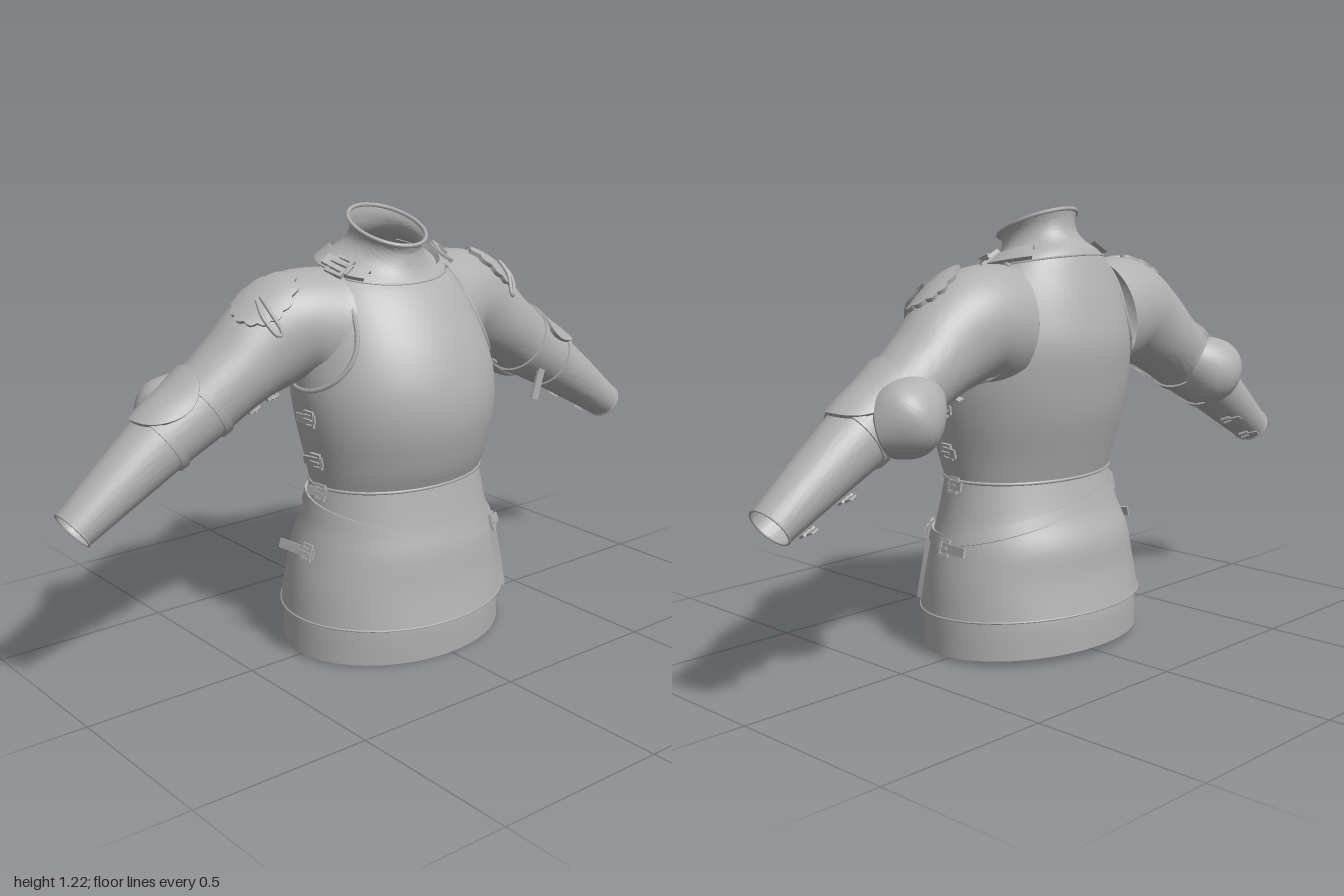
import * as THREE from 'three';
import { toCreasedNormals } from 'three/addons/utils/BufferGeometryUtils.js';

const steel = new THREE.MeshStandardMaterial({ color: 0xb0b0b0, side: THREE.DoubleSide });
steel.name = 'grey steel';
const TAU = Math.PI * 2;
const { lerp, clamp } = THREE.MathUtils;

// Smooth interpolation of one column of a table of cross-sections.
function column(rows, u, k) {
  const n = rows.length - 1;
  const i = clamp(Math.floor(u), 0, n - 1), f = u - i;
  const v = (j) => rows[clamp(j, 0, n)][k];
  const a = v(i - 1), b = v(i), c = v(i + 1), d = v(i + 2);
  return b + 0.5 * f * (c - a + f * (2 * a - 5 * b + 4 * c - d + f * (3 * (b - c) + d - a)));
}

// Body rows: front y, back y, half width, front z, back z. t = 0 is the front.
const body = (rows) => Object.assign((u, t) => {
  const [yf, yb, a, zf, zb] = [0, 1, 2, 3, 4].map((k) => column(rows, u, k));
  const w = (1 + Math.cos(t)) / 2;
  return new THREE.Vector3(a * Math.sin(t), lerp(yb, yf, w), lerp(zb, zf, w));
}, { max: rows.length - 1 });

// Sleeve rows: centre x, y, z, half height, half depth. t = 0 is the top.
const sleeve = (rows) => Object.assign((u, t) => {
  const [x, y, z, h, d] = [0, 1, 2, 3, 4].map((k) => column(rows, u, k));
  const u0 = Math.max(u - 0.05, 0), u1 = Math.min(u + 0.05, rows.length - 1);
  const dx = column(rows, u1, 0) - column(rows, u0, 0), dy = column(rows, u1, 1) - column(rows, u0, 1);
  const l = Math.hypot(dx, dy), c = h * Math.cos(t);
  return new THREE.Vector3(x - (dy / l) * c, y + (dx / l) * c, z + d * Math.sin(t));
}, { max: rows.length - 1 });

const cuirass = body([
  [0.485, 0.485, 0.268, 0.21, -0.185], [0.55, 0.55, 0.28, 0.237, -0.205],
  [0.66, 0.66, 0.3, 0.262, -0.238], [0.76, 0.76, 0.305, 0.256, -0.255],
  [0.86, 0.86, 0.29, 0.222, -0.262], [0.95, 0.96, 0.262, 0.17, -0.24],
  [1.01, 1.04, 0.225, 0.125, -0.213], [1.035, 1.105, 0.185, 0.1, -0.185],
  [1.055, 1.135, 0.135, 0.088, -0.155], [1.08, 1.16, 0.105, 0.08, -0.14],
  [1.11, 1.19, 0.095, 0.076, -0.134], [1.13, 1.217, 0.105, 0.086, -0.135]]);
const fauld = body([
  [0.108, 0.128, 0.347, 0.278, -0.278], [0.2, 0.22, 0.335, 0.26, -0.258],
  [0.3, 0.31, 0.312, 0.247, -0.247], [0.38, 0.39, 0.288, 0.226, -0.21],
  [0.49, 0.49, 0.265, 0.205, -0.181]]);
const underskirt = body([
  [0, 0.02, 0.343, 0.26, -0.268], [0.1, 0.115, 0.337, 0.262, -0.267], [0.2, 0.2, 0.325, 0.25, -0.25]]);
const arm = sleeve([
  [0.2, 0.91, -0.06, 0.165, 0.16], [0.3, 0.92, -0.075, 0.15, 0.143], [0.4, 0.875, -0.08, 0.132, 0.122],
  [0.485, 0.82, -0.083, 0.11, 0.114], [0.6, 0.74, -0.085, 0.098, 0.1], [0.7, 0.68, -0.085, 0.09, 0.09],
  [0.83, 0.592, -0.082, 0.074, 0.077], [0.965, 0.497, -0.08, 0.055, 0.062]]);

// Local frame and raised points on a surface.
function frame(f, u, t) {
  const du = f(Math.min(u + 0.01, f.max), t).sub(f(Math.max(u - 0.01, 0), t));
  const x = f(u, t + 0.01).sub(f(u, t - 0.01)).normalize();
  const n = x.clone().cross(du).normalize();
  return { x, y: n.clone().cross(x), n };
}
const raised = (f, u, t, off) => f(u, t).addScaledVector(frame(f, u, t).n, off);

// Parameter u at which a surface reaches a given height.
function uAt(f, y, t) {
  let lo = 0, hi = f.max;
  for (let i = 0; i < 30; i++) {
    const m = (lo + hi) / 2;
    if (f(m, t).y < y) lo = m; else hi = m;
  }
  return lo;
}

function add(parent, name, geometry) {
  const m = new THREE.Mesh(geometry, steel);
  m.name = name;
  parent.add(m);
  return m;
}

// Grid surface from fn(a, b), a and b running from 0 to 1.
function sheet(fn, na, nb, crease = 0.7) {
  const pos = [], index = [];
  for (let i = 0; i <= na; i++) for (let j = 0; j <= nb; j++) {
    pos.push(...fn(i / na, j / nb).toArray());
    if (i < na && j < nb) {
      const p = i * (nb + 1) + j, q = p + nb + 1;
      index.push(p, p + 1, q, p + 1, q + 1, q);
    }
  }
  const g = new THREE.BufferGeometry();
  g.setAttribute('position', new THREE.Float32BufferAttribute(pos, 3));
  g.setIndex(index);
  return toCreasedNormals(g, crease);
}
const loft = (f) => sheet((a, b) => f(a * f.max, b * TAU), f.max * 5, 72, 1);

// Strap lying on a surface, its edges turned down; range(t) gives its two u limits.
const strap = (f, range, t0, t1, off, n) => sheet((a, b) => {
  const i = Math.round(a * 3), t = lerp(t0, t1, b);
  return raised(f, range(t)[i > 1 ? 1 : 0], t, i === 0 || i === 3 ? -0.002 : off);
}, 3, n);

// Rounded plate lying on a surface; rim(angle) shapes it and dome(r) lifts it.
const plate = (f, u, t, ru, rt, rim, dome) => sheet((a, b) => {
  const p = -b * TAU, r = Math.min(a / 0.92, 1) * rim(p);
  return raised(f, u + ru * r * Math.cos(p), t + rt * r * Math.sin(p), dome(a));
}, 12, 72);

const cord = (points, r, closed) => new THREE.TubeGeometry(
  new THREE.CatmullRomCurve3(points, closed), points.length * 4, r, 6, closed);
const hoop = (f, u, r) => cord(Array.from({ length: 32 }, (_, i) => f(u, (i / 32) * TAU)), r, true);

// Rectangular buckle with a strap end, set on a surface.
function buckle(parent, name, f, u, t, size = 1, tail = 0.085) {
  const g = new THREE.Group();
  g.name = name;
  const s = new THREE.Shape([[-0.02, -0.024], [0.02, -0.024], [0.02, 0.024], [-0.02, 0.024]].map((p) => new THREE.Vector2(...p)));
  s.holes.push(new THREE.Path([[-0.013, -0.017], [-0.013, 0.017], [0.013, 0.017], [0.013, -0.017]].map((p) => new THREE.Vector2(...p))));
  const ring = add(g, 'buckleFrame', new THREE.ExtrudeGeometry(s, { depth: 0.008, bevelEnabled: false }));
  ring.position.z = 0.007;
  const end = add(g, 'strapEnd', new THREE.BoxGeometry(tail, 0.026, 0.006));
  end.position.set(tail / 2 - 0.025, 0, 0.014);
  end.rotation.y = -0.12;
  const pin = add(g, 'bucklePin', new THREE.BoxGeometry(0.036, 0.005, 0.006));
  pin.position.z = 0.019;
  const { x, y, n } = frame(f, u, t);
  g.quaternion.setFromRotationMatrix(new THREE.Matrix4().makeBasis(x, y, n));
  g.position.copy(f(u, t));
  g.scale.setScalar(size);
  parent.add(g);
}

// Everything that occurs on both sides, made for the left.
function makeSide(name) {
  const g = new THREE.Group();
  g.name = name;
  add(g, 'armSleeve', loft(arm));
  add(g, 'cuffEdge', hoop(arm, arm.max, 0.003));

  // armhole roll on the cuirass
  const hole = Array.from({ length: 32 }, (_, i) => {
    const p = (i / 32) * TAU, t = 1.65 + 0.77 * Math.cos(p);
    return cuirass(uAt(cuirass, 0.92 + 0.16 * Math.sin(p), t), t);
  });
  add(g, 'armholeRoll', cord(hole, 0.007, true));

  // elbow: rear cap, upper wing and bands
  const round = () => 1;
  add(g, 'elbowCap', plate(arm, 4.25, -1.65, 0.85, 1.05, round, (a) => 0.083 * (1 - a * a)));
  add(g, 'elbowWing', plate(arm, 4.4, 0, 0.92, 1.0, (p) => 1 - 0.12 * Math.cos(p) ** 4, (a) => (a > 0.95 ? 0 : 0.012)));
  for (const u of [3.75, 4.95]) add(g, 'elbowBand', strap(arm, () => [u, u + 0.16], 0, TAU, 0.006, 48));

  // scalloped shoulder rosette with its lace
  add(g, 'shoulderRosette', plate(arm, 1.6, 0.35, 0.66, 0.58,
    (p) => 0.9 + 0.1 * Math.abs(Math.cos(6 * p)), (a) => (a > 0.95 ? 0 : 0.012)));
  const lace = [[1.55, 0.4], [1.65, 0.75], [1.75, 1.15], [1.85, 1.15], [1.85, 0.75], [1.65, 0.4]];
  add(g, 'shoulderLace', cord(lace.map(([u, t]) => raised(arm, u, t, 0.017)), 0.006, false));

  // shoulder strap
  add(g, 'shoulderStrap', strap(cuirass, () => [6.85, 7.6], 0.85, 2.3, 0.016, 20));
  buckle(g, 'shoulderBuckle', cuirass, 7.2, 1.35, 1.4, 0.06);

  // buckles beneath the arm and down the flank
  for (const [u, t] of [[2.5, 2.95], [3.1, 2.95], [5.9, 3.65], [6.6, 3.65]]) buckle(g, 'armBuckle', arm, u, t, 0.75);
  for (const y of [0.69, 0.57]) buckle(g, 'flankBuckle', cuirass, uAt(cuirass, y, 1.5), 1.5, 0.95, 0.07);
  buckle(g, 'waistBuckle', fauld, uAt(fauld, 0.472, 1.5), 1.5, 0.95, 0.07);
  buckle(g, 'skirtBuckle', fauld, uAt(fauld, 0.305, 1.5), 1.5, 1, 0.125);
  return g;
}

export function createModel() {
  const model = new THREE.Group();
  model.name = 'bodyArmour';

  // body shells and their edges
  add(model, 'cuirass', loft(cuirass));
  add(model, 'fauld', loft(fauld));
  add(model, 'underskirt', loft(underskirt));
  add(model, 'collarRoll', hoop(cuirass, cuirass.max, 0.006));
  add(model, 'gorgetEdge', hoop(cuirass, 6.8, 0.003));
  add(model, 'waistEdge', hoop(cuirass, 0, 0.005));
  add(model, 'fauldEdge', hoop(fauld, 0, 0.003));

  // slanting belt with buckle and hanging end
  const beltY = (t) => 0.375 - 0.06 * Math.cos(t - 0.9);
  add(model, 'belt', strap(fauld, (t) => [-0.016, 0.016].map((d) => uAt(fauld, beltY(t) + d, t)), 0, TAU, 0.007, 72));
  buckle(model, 'beltBuckle', fauld, uAt(fauld, beltY(0.78), 0.78), 0.78, 1.05, 0.06);
  add(model, 'beltEnd', sheet((a, b) => {
    const t = lerp(0.75, 0.86, b);
    return raised(fauld, uAt(fauld, lerp(0.118, 0.31, a), t), t, b === 0 || b === 1 ? 0 : 0.014);
  }, 12, 4));

  // arms and side fittings
  const left = makeSide('leftSide'), right = makeSide('rightSide');
  right.scale.x = -1;
  model.add(left, right);

  // loose strap end at the left elbow
  const tab = add(left, 'elbowStrapEnd', new THREE.BoxGeometry(0.026, 0.11, 0.008));
  tab.position.set(0.592, 0.635, -0.01);
  tab.rotation.z = -0.3;
  return model;
}
